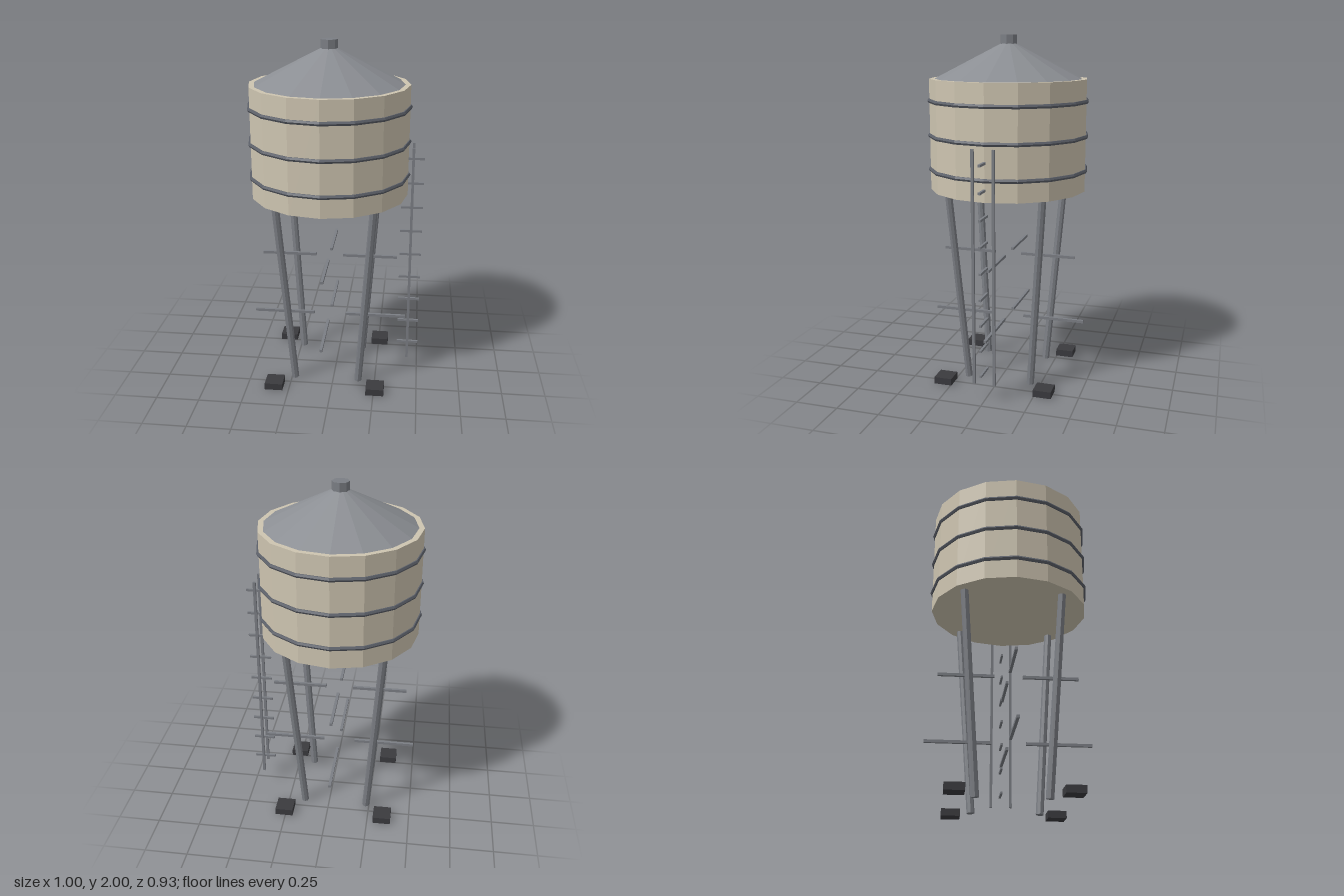
import * as THREE from 'three';

const material = (color) => new THREE.MeshStandardMaterial({ color, flatShading: true });

export function createModel() {
  const tank = material(0xcdc4b0);
  const roofGrey = material(0x8b8e93);
  const steel = material(0x7b7e84);
  const bandGrey = material(0x5c6069);
  const dark = material(0x3a3a3e);

  const model = new THREE.Group();
  const tower = new THREE.Group();
  tower.name = 'tower';
  tower.position.x = -0.04;
  model.add(tower);

  const add = (parent, name, geometry, mat, x = 0, y = 0, z = 0) => {
    const mesh = new THREE.Mesh(geometry, mat);
    mesh.name = name;
    mesh.position.set(x, y, z);
    parent.add(mesh);
    return mesh;
  };

  // Sixteen-sided tank with a conical roof and a vent cap
  add(tower, 'tank', new THREE.CylinderGeometry(0.45, 0.45, 0.63, 16), tank, 0, 1.445, 0);
  add(tower, 'roof', new THREE.ConeGeometry(0.42, 0.215, 16), roofGrey, 0, 1.8675, 0);
  add(tower, 'ventCap', new THREE.CylinderGeometry(0.048, 0.048, 0.055, 8), steel, 0, 1.9725, 0);

  // Hoops around the tank
  for (const y of [1.248, 1.442, 1.638]) {
    const hoop = add(tower, 'hoop', new THREE.TorusGeometry(0.45, 0.0125, 6, 16), bandGrey, 0, y, 0);
    hoop.rotation.x = Math.PI / 2;
  }

  // Splayed legs and the footings beside them
  const up = new THREE.Vector3(0, 1, 0);
  for (const sx of [-1, 1]) {
    for (const sz of [-1, 1]) {
      const foot = new THREE.Vector3(sx * 0.19, 0.003, sz * 0.19);
      const head = new THREE.Vector3(sx * 0.272, 1.13, sz * 0.272);
      const axis = head.clone().sub(foot);
      const leg = add(tower, 'leg', new THREE.CylinderGeometry(0.022, 0.022, axis.length(), 8), steel);
      leg.position.copy(foot).add(head).multiplyScalar(0.5);
      leg.quaternion.setFromUnitVectors(up, axis.normalize());
      add(tower, 'footing', new THREE.BoxGeometry(0.105, 0.04, 0.105), dark, sx * 0.298, 0.02, sz * 0.298);
    }
  }

  // Two levels of radial cross braces
  for (const [y, inner, outer] of [[0.345, 0.095, 0.46], [0.735, 0.08, 0.4]]) {
    for (let i = 0; i < 4; i++) {
      const spoke = new THREE.Group();
      spoke.name = 'braceSpoke';
      spoke.rotation.y = i * Math.PI / 2;
      tower.add(spoke);
      add(spoke, 'brace', new THREE.BoxGeometry(outer - inner, 0.016, 0.016), steel, (inner + outer) / 2, y, 0);
    }
  }

  // Ladder at the side
  const ladder = new THREE.Group();
  ladder.name = 'ladder';
  ladder.position.x = 0.437;
  model.add(ladder);
  for (const z of [-0.058, 0.058]) {
    add(ladder, 'ladderRail', new THREE.BoxGeometry(0.015, 1.32, 0.015), steel, 0, 0.76, z);
  }
  for (let i = 0; i < 9; i++) {
    add(ladder, 'ladderRung', new THREE.BoxGeometry(0.126, 0.013, 0.013), steel, 0, 0.175 + i * 0.146, 0);
  }

  return model;
}
